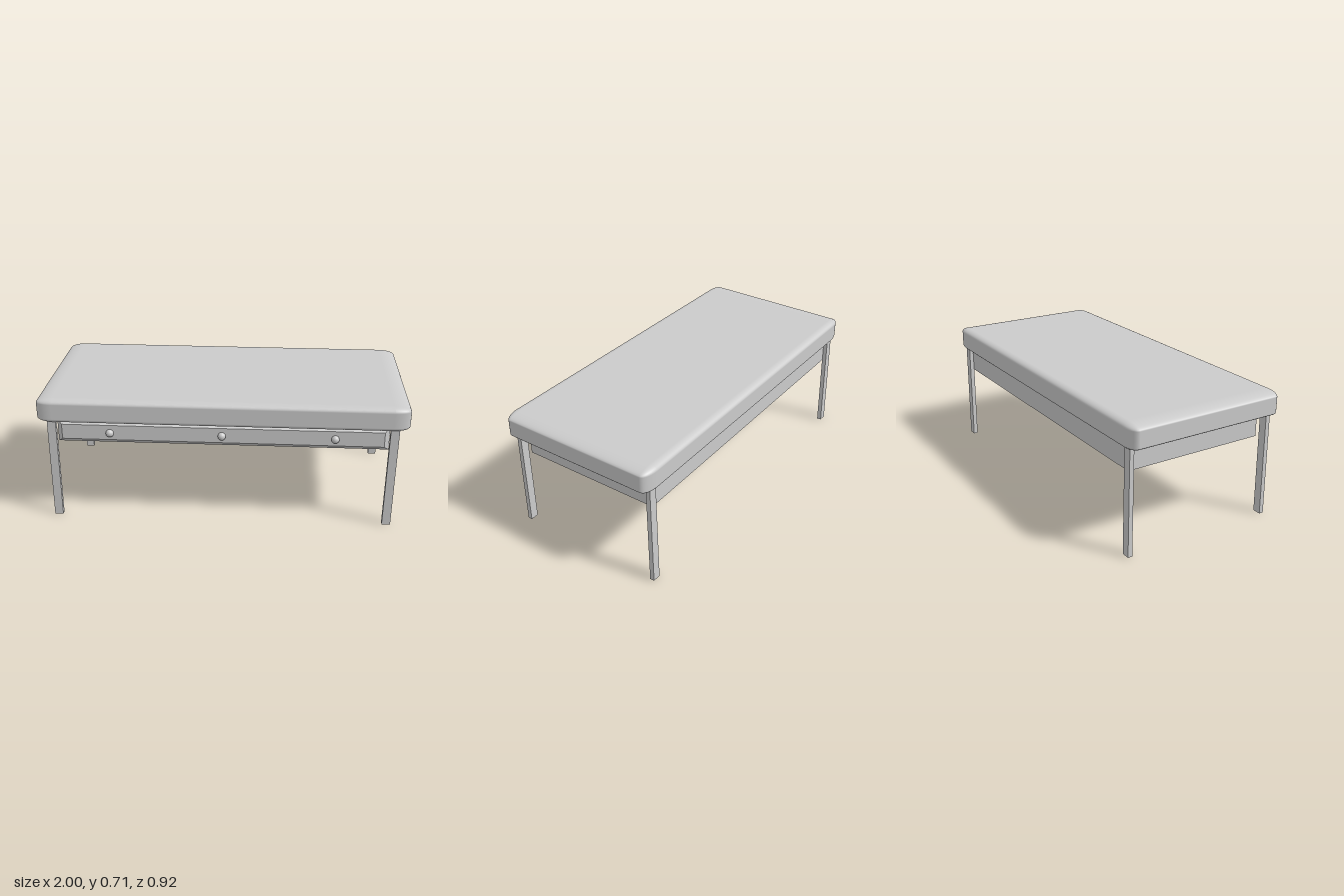
import * as THREE from 'three';
import { RoundedBoxGeometry } from 'three/addons/geometries/RoundedBoxGeometry.js';

const material = new THREE.MeshStandardMaterial({ color: 0xcccccc });

function add(parent, name, geometry, x = 0, y = 0, z = 0) {
  const mesh = new THREE.Mesh(geometry, material);
  mesh.name = name;
  mesh.position.set(x, y, z);
  parent.add(mesh);
  return mesh;
}

// Move each vertex of a geometry by a rule, then rebuild flat normals
function reshape(geometry, rule) {
  const flat = geometry.toNonIndexed();
  const p = flat.attributes.position;
  const v = new THREE.Vector3();
  for (let i = 0; i < p.count; i++) {
    rule(v.fromBufferAttribute(p, i));
    p.setXYZ(i, v.x, v.y, v.z);
  }
  flat.computeVertexNormals();
  return flat;
}

export function createModel() {
  const table = new THREE.Group();
  table.name = 'table';

  // Thick top, its edge rounding stretched along the length
  const rx = 0.09, ry = 0.026, rz = 0.042;
  const top = new RoundedBoxGeometry(2 / rx, 0.136 / ry, 0.918 / rz, 4, 1);
  top.scale(rx, ry, rz);
  add(table, 'top', top, 0, 0.644, 0);

  // Drawer case under the top
  const caseBack = -0.415, caseFront = 0.39;
  add(table, 'drawerCase', new THREE.BoxGeometry(1.8, 0.135, caseFront - caseBack),
    0, 0.5125, (caseFront + caseBack) / 2);

  // Drawer front with bevelled rim
  const bevel = 0.025;
  const front = reshape(new THREE.BoxGeometry(1.8, 0.135, bevel), (v) => {
    if (v.z > 0) {
      v.x -= Math.sign(v.x) * 0.027;
      v.y -= Math.sign(v.y) * bevel;
    }
  });
  add(table, 'drawerFront', front, 0, 0.5125, caseFront + bevel / 2);

  // Three round knobs
  for (const x of [-0.61, 0, 0.61]) {
    add(table, 'knob', new THREE.SphereGeometry(0.022, 16, 12), x, 0.51, 0.418);
  }

  // Slim rectangular legs, the rear pair leaning slightly back
  const height = 0.585;
  for (const side of [-1, 1]) {
    for (const end of [-1, 1]) {
      const leg = reshape(new THREE.BoxGeometry(0.047, height, 0.025), (v) => {
        if (v.y < 0) {
          v.x -= 0.005;
          if (end < 0) v.z -= 0.006;
        }
      });
      add(table, end > 0 ? 'frontLeg' : 'backLeg', leg, side * 0.922, height / 2, end * 0.425);
    }
  }

  return table;
}
